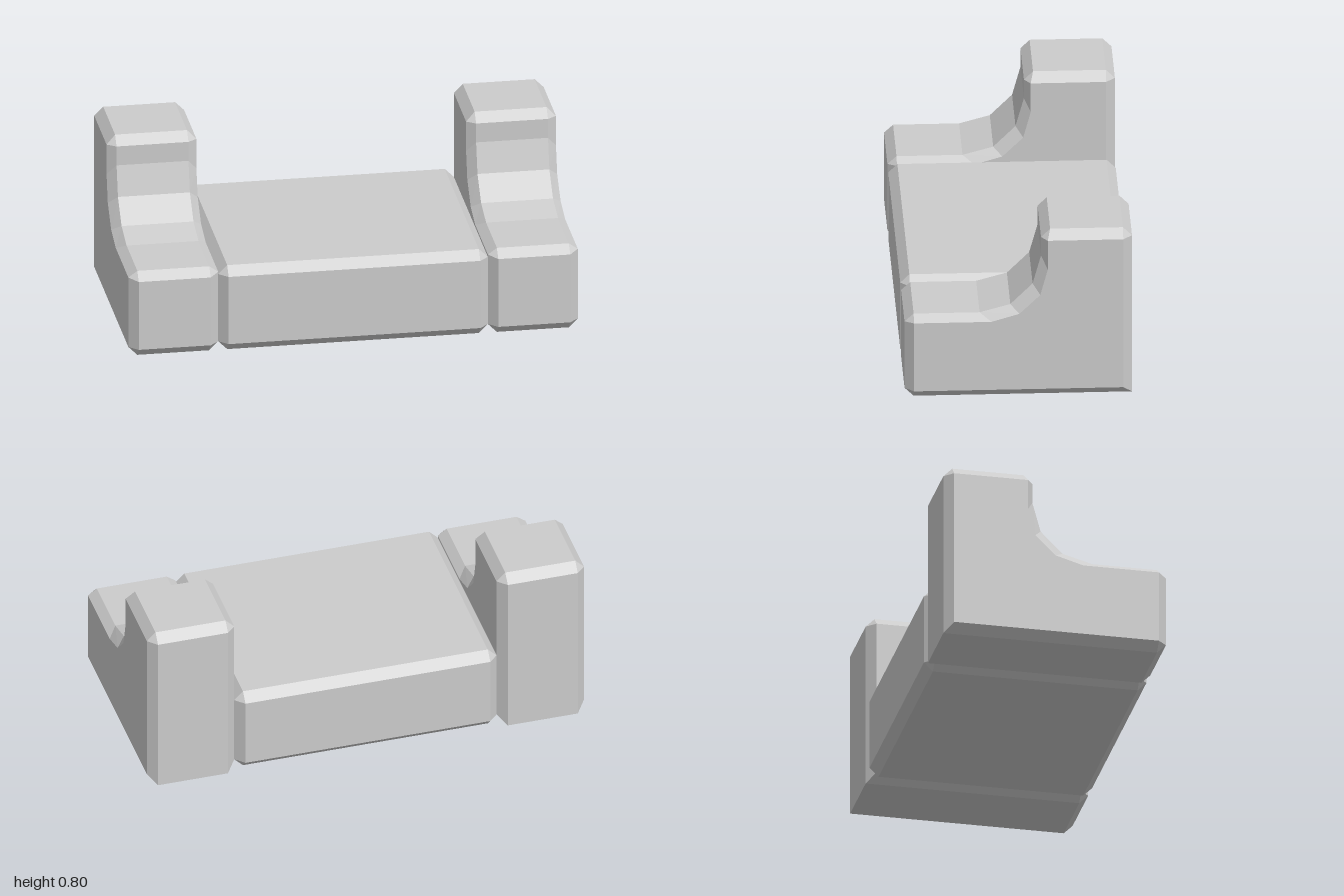
import * as THREE from 'three';

const BEVEL = 0.04;

// Each row is [outer z, outer y, side-face z, side-face y], listed from the
// bottom front edge, up the front, over the top and down the back.
const ARM = [
  [0.5, 0.04, 0.46, 0.04],
  [0.5, 0.363, 0.46, 0.371],
  [0.46, 0.4, 0.46, 0.371],
  // concave sweep up to the tall rear post
  [0.17, 0.4, 0.12, 0.371],
  [0.035, 0.437, -0.003, 0.407],
  [-0.063, 0.535, -0.095, 0.497],
  [-0.1, 0.67, -0.128, 0.62],
  [-0.1, 0.76, -0.128, 0.76],
  [-0.14, 0.8, -0.128, 0.76],
  [-0.46, 0.8, -0.46, 0.76],
  [-0.5, 0.76, -0.46, 0.76],
  // sharp bottom rear edge
  [-0.5, 0, -0.46, 0.04],
  [0.46, 0, 0.46, 0.04],
];

const SLAB = [
  [0.5, 0.04, 0.46, 0.04],
  [0.5, 0.36, 0.46, 0.36],
  [0.46, 0.4, 0.46, 0.36],
  [-0.46, 0.4, -0.46, 0.36],
  [-0.5, 0.36, -0.46, 0.36],
  [-0.5, 0.04, -0.46, 0.04],
  [-0.46, 0, -0.46, 0.04],
  [0.46, 0, 0.46, 0.04],
];

// Solid lofted along x through four rings: face, bevel, bevel, face
function beveledSolid(profile, x0, x1) {
  const outer = (x) => profile.map(([z, y]) => new THREE.Vector3(x, y, z));
  const face = (x) => profile.map(([, , z, y]) => new THREE.Vector3(x, y, z));
  const rings = [face(x0), outer(x0 + BEVEL), outer(x1 - BEVEL), face(x1)];
  const points = [];
  const tri = (a, b, c) => {
    // skip the collapsed triangles at three-way corners
    if (!a.equals(b) && !b.equals(c) && !c.equals(a)) points.push(a, b, c);
  };

  for (let r = 0; r < 3; r++) {
    for (let i = 0; i < profile.length; i++) {
      const j = (i + 1) % profile.length;
      const [lo, hi] = [rings[r], rings[r + 1]];
      tri(lo[i], hi[i], hi[j]);
      tri(lo[i], hi[j], lo[j]);
    }
  }

  // flat side faces
  const distinct = (ring) =>
    ring.filter((p, i) => !p.equals(ring[(i + 1) % ring.length]));
  const left = distinct(rings[0]);
  const right = distinct(rings[3]);
  const contour = left.map((p) => new THREE.Vector2(p.z, p.y));
  for (const [a, b, c] of THREE.ShapeUtils.triangulateShape(contour, [])) {
    tri(left[a], left[b], left[c]);
    tri(right[a], right[c], right[b]);
  }

  const geometry = new THREE.BufferGeometry().setFromPoints(points);
  geometry.computeVertexNormals();
  return geometry;
}

export function createModel() {
  const group = new THREE.Group();
  const material = new THREE.MeshStandardMaterial({ color: 0xcccccc, flatShading: true });
  const add = (name, profile, x0, x1) => {
    const mesh = new THREE.Mesh(beveledSolid(profile, x0, x1), material);
    mesh.name = name;
    group.add(mesh);
  };

  add('centerSlab', SLAB, -0.6, 0.6);
  add('leftArm', ARM, 0.6, 1);
  add('rightArm', ARM, -1, -0.6);
  return group;
}
